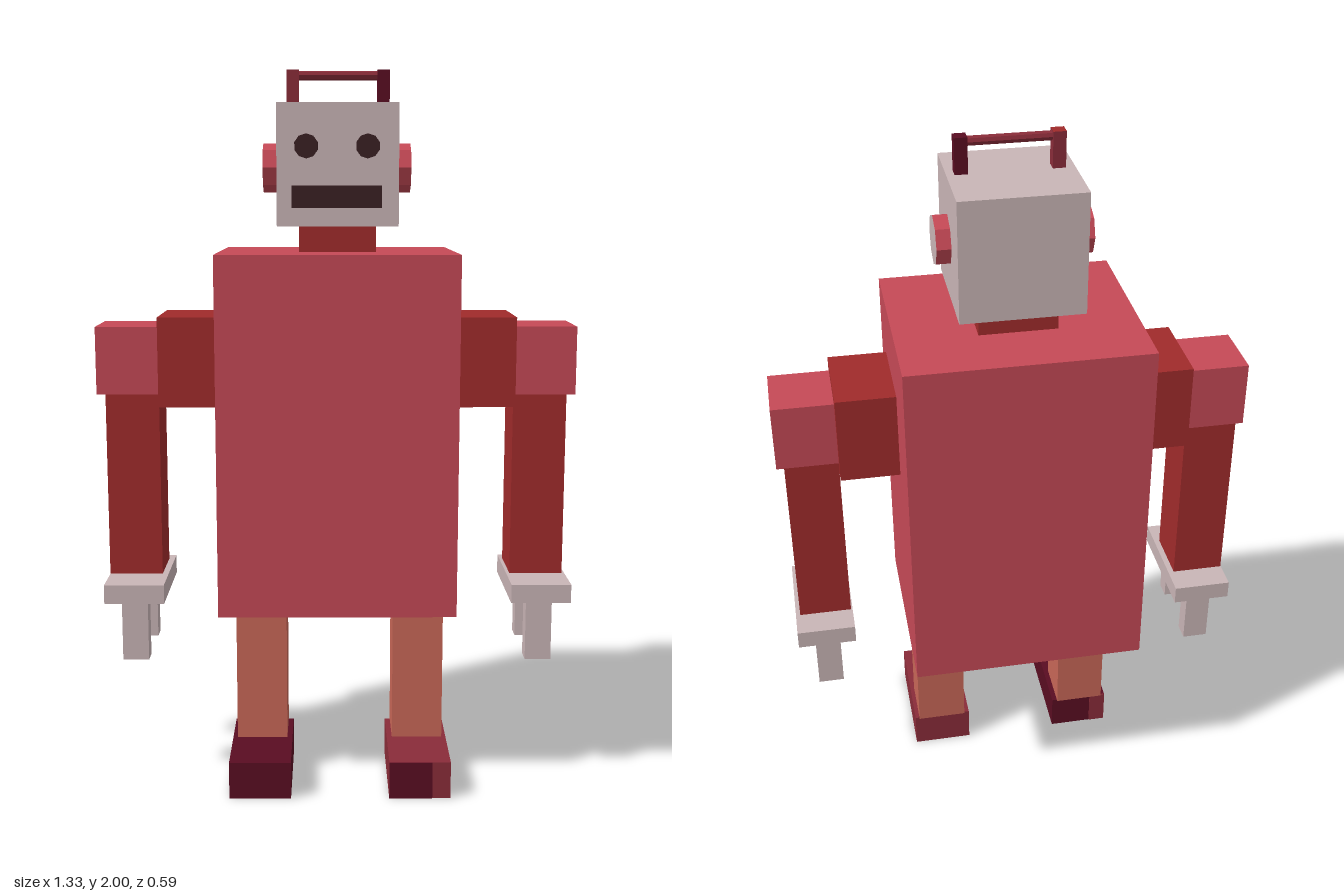
import * as THREE from 'three';

const mat = (name, color) => {
  const m = new THREE.MeshStandardMaterial({ color });
  m.name = name;
  return m;
};

export function createModel() {
  const rose = mat('rose', 0xc54956);
  const red = mat('red', 0xa02b2b);
  const metal = mat('pale metal', 0xc9b5b6);
  const orange = mat('orange', 0xc86757);
  const wine = mat('wine', 0x8a2c39);
  const plum = mat('plum', 0x5a0d22);
  const dark = mat('dark brown', 0x3a2023);

  const model = new THREE.Group();
  model.name = 'robot';

  // Box given by its extents along x, y and z
  const box = (name, material, [x0, x1], [y0, y1], [z0, z1], parent = model) => {
    const mesh = new THREE.Mesh(new THREE.BoxGeometry(x1 - x0, y1 - y0, z1 - z0), material);
    mesh.position.set((x0 + x1) / 2, (y0 + y1) / 2, (z0 + z1) / 2);
    mesh.name = name;
    parent.add(mesh);
    return mesh;
  };
  const group = (name, parent = model) => {
    const g = new THREE.Group();
    g.name = name;
    parent.add(g);
    return g;
  };

  // Body and neck
  box('torso', rose, [-0.325, 0.33], [0.516, 1.505], [-0.295, 0.267]);
  box('neck', red, [-0.102, 0.11], [1.505, 1.578], [-0.116, 0.085]);

  // Head with painted face
  const head = group('head');
  box('skull', metal, [-0.161, 0.169], [1.577, 1.905], [-0.184, 0.146], head);
  box('mouth', dark, [-0.12, 0.123], [1.626, 1.686], [0.145, 0.154], head);
  for (const [name, x] of [['rightEye', -0.081], ['leftEye', 0.085]]) {
    const eye = new THREE.Mesh(new THREE.CylinderGeometry(0.033, 0.033, 0.009, 10), dark);
    eye.rotation.x = Math.PI / 2;
    eye.position.set(x, 1.79, 0.1495);
    eye.name = name;
    head.add(eye);
  }

  // Octagonal ears with metal caps
  const earGeometry = new THREE.CylinderGeometry(0.067, 0.067, 0.045, 8).toNonIndexed();
  earGeometry.computeVertexNormals();
  for (const [name, x, turn] of [['rightEar', -0.18, 1], ['leftEar', 0.185, -1]]) {
    const ear = new THREE.Mesh(earGeometry, [rose, metal, metal]);
    ear.rotation.z = turn * Math.PI / 2;
    ear.position.set(x, 1.735, -0.011);
    ear.name = name;
    head.add(ear);
  }

  // Carrying handle on the head
  const handle = group('handle', head);
  box('rightPost', [wine, wine, red, wine, wine, wine], [-0.136, -0.102], [1.905, 2], [-0.014, 0.021], handle);
  box('leftPost', plum, [0.114, 0.148], [1.905, 2], [-0.014, 0.021], handle);
  const barGeometry = new THREE.CylinderGeometry(0.013, 0.013, 0.22, 8).toNonIndexed();
  barGeometry.computeVertexNormals();
  const bar = new THREE.Mesh(barGeometry, wine);
  bar.rotation.z = Math.PI / 2;
  bar.position.set(0.006, 1.985, 0.004);
  bar.name = 'bar';
  handle.add(bar);

  // Arms, legs: s = -1 is the right side, s = 1 the left
  for (const s of [-1, 1]) {
    const side = s < 0 ? 'right' : 'left';
    // Extents mirrored about the slightly offset body centre
    const span = (a, b, c = 0.002) => (s < 0 ? [c - b, c - a] : [c + a, c + b]);

    const arm = group(side + 'Arm');
    box('shoulder', red, span(0.327, 0.492), [1.083, 1.331], [-0.095, 0.157], arm);
    box('upperArm', rose, span(0.492, 0.664, 0), [1.115, 1.303], [-0.056, 0.131], arm);
    box('forearm', red, span(0.494, 0.643, 0), [0.597, 1.115], [-0.054, 0.109], arm);
    box('palm', metal, span(0.485, 0.652, 0.004), [0.535, 0.588], [-0.126, 0.199], arm);
    box('frontFinger', metal, span(0.532, 0.605), [0.363, 0.535], [0.121, 0.173], arm);
    box('backFinger', metal, span(0.532, 0.605), [0.363, 0.535], [-0.093, -0.041], arm);

    const leg = group(side + 'Leg');
    box('shin', orange, span(0.152, 0.296, 0.01), [0.104, 0.516], [-0.037, 0.109], leg);
  }

  // Feet, with differently painted faces
  const y = [0, 0.105], z = [-0.032, 0.294];
  box('rightFoot', [plum, red, plum, red, plum, plum], [-0.299, -0.127], y, z);
  box('rightHeelStripe', wine, [-0.299, -0.25], y, [-0.034, -0.031]);
  box('leftFoot', wine, [0.147, 0.318], y, z);
  box('leftToePanel', plum, [0.147, 0.267], y, [0.293, 0.296]);

  return model;
}
